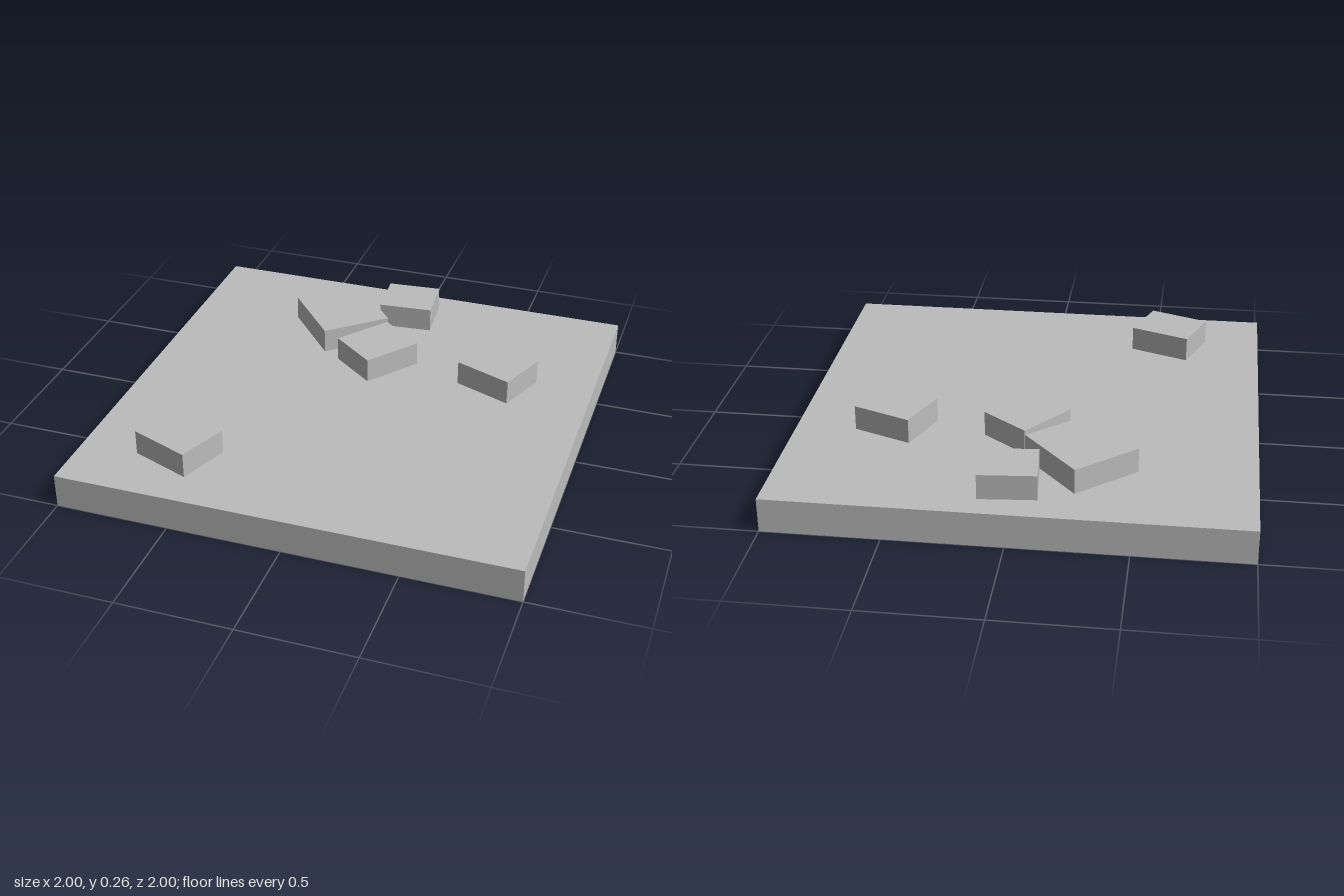
import * as THREE from 'three';

export function createModel() {
  const model = new THREE.Group();
  const grey = new THREE.MeshStandardMaterial({ color: 0xbcbcbc });
  grey.name = 'grey';

  const slabHeight = 0.15;
  const blockHeight = 0.11;

  // Box standing on the given height, turned about its upright axis
  function addBox(name, width, height, depth, x, bottom, z, turn = 0) {
    const mesh = new THREE.Mesh(new THREE.BoxGeometry(width, height, depth), grey);
    mesh.name = name;
    mesh.position.set(x, bottom + height / 2, z);
    mesh.rotation.y = turn;
    model.add(mesh);
  }

  // Square base slab
  addBox('baseSlab', 2, slabHeight, 2, 0, 0, 0);

  // Scattered blocks: name, width, depth, x, z, turn
  const blocks = [
    ['frontRightBlock', 0.279, 0.236, -0.573, 0.675, -0.367],
    ['leftBlock', 0.272, 0.237, 0.568, -0.3, -0.376],
    ['backBlock', 0.245, 0.225, 0.013, -0.768, 0.083],
    ['centreBlock', 0.244, 0.278, -0.008, -0.31, -0.66],
    ['largeBlock', 0.358, 0.323, -0.265, -0.56, -0.858],
  ];
  for (const [name, width, depth, x, z, turn] of blocks) {
    addBox(name, width, blockHeight, depth, x, slabHeight, z, turn);
  }

  return model;
}
